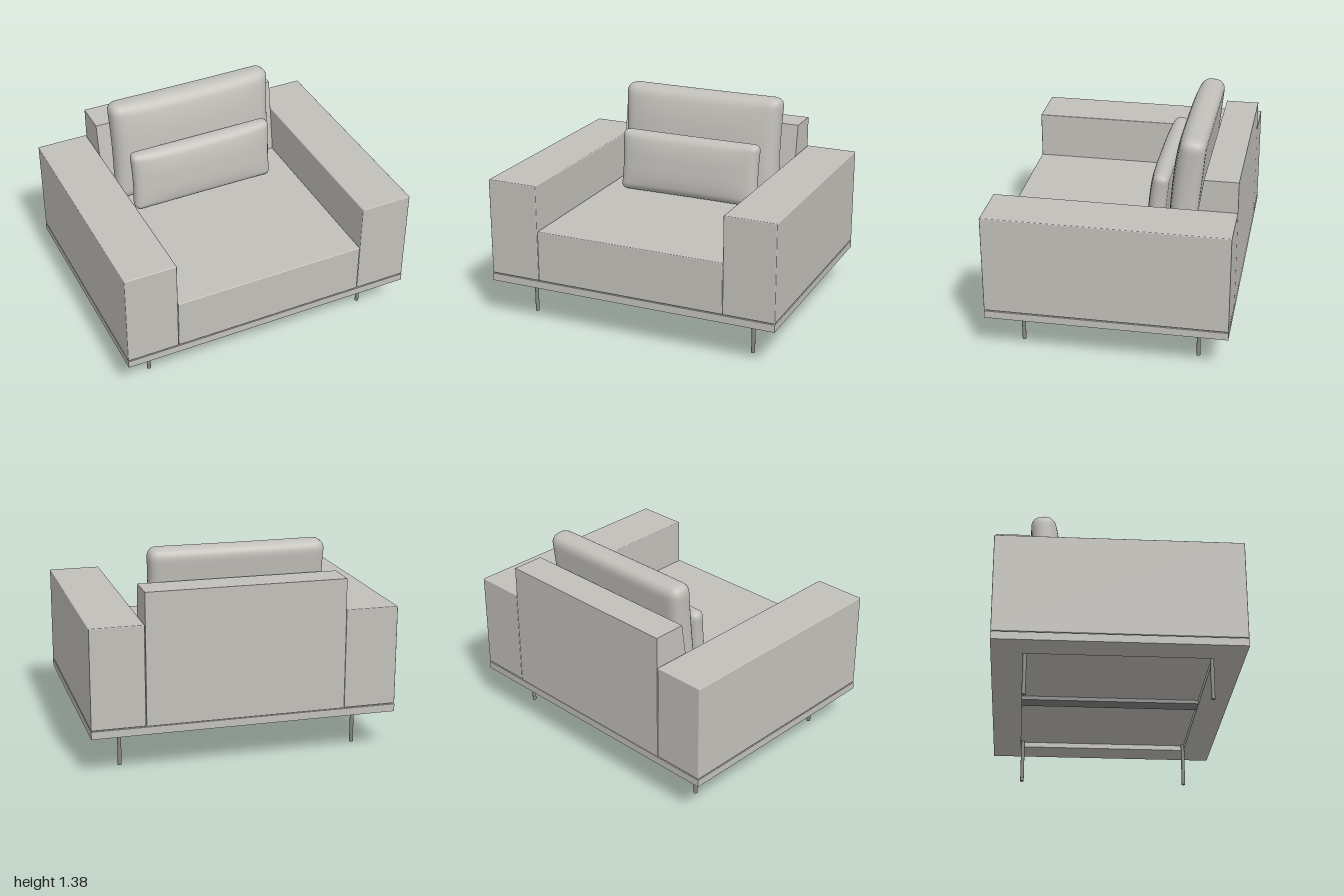
import * as THREE from 'three';
import { mergeVertices } from 'three/addons/utils/BufferGeometryUtils.js';
import { RoundedBoxGeometry } from 'three/addons/geometries/RoundedBoxGeometry.js';

const fabric = new THREE.MeshStandardMaterial({ color: 0xc2c0ba });
fabric.name = 'warm grey fabric';
const metal = new THREE.MeshStandardMaterial({ color: 0x868686 });
metal.name = 'grey metal';

function add(parent, name, geometry, material, x = 0, y = 0, z = 0) {
  const mesh = new THREE.Mesh(geometry, material);
  mesh.name = name;
  mesh.position.set(x, y, z);
  parent.add(mesh);
  return mesh;
}

// Upholstered block given by its minimum and maximum corners
function block(parent, name, [x0, y0, z0], [x1, y1, z1]) {
  const geometry = new RoundedBoxGeometry(x1 - x0, y1 - y0, z1 - z0, 2, 0.006);
  return add(parent, name, geometry, fabric, (x0 + x1) / 2, (y0 + y1) / 2, (z0 + z1) / 2);
}

// Soft pillow: a rounded box with a bulging front and slightly pinched sides
function cushionGeometry(w, h, d, r, bulge) {
  let g = new THREE.BoxGeometry(w, h, d, 44, 30, 10);
  g.deleteAttribute('uv');
  g.deleteAttribute('normal');
  g = mergeVertices(g);
  const pos = g.attributes.position;
  const p = new THREE.Vector3();
  const inner = new THREE.Vector3();
  const limit = new THREE.Vector3(w / 2 - r, h / 2 - r, d / 2 - r);
  const low = limit.clone().negate();
  for (let i = 0; i < pos.count; i++) {
    p.fromBufferAttribute(pos, i);
    inner.copy(p).clamp(low, limit);
    p.sub(inner).setLength(r).add(inner);
    const u = (2 * p.x) / w;
    const v = (2 * p.y) / h;
    const puff = (1 - Math.abs(u) ** 4) * (1 - Math.abs(v) ** 3);
    if (p.z > 0) p.z += bulge * puff * Math.min(1, (2 * p.z) / d);
    p.x *= 1 - 0.02 * (1 - v * v);
    p.y *= 1 - 0.008 * (1 - u * u);
    pos.setXYZ(i, p.x, p.y, p.z);
  }
  g.computeVertexNormals();
  return g;
}

export function createModel() {
  const model = new THREE.Group();
  model.name = 'armchair';

  // Base: thin slab over a rim that leaves a recess underneath
  const rim = new THREE.Shape([[-1, -0.78], [1, -0.78], [1, 0.78], [-1, 0.78]].map(([x, y]) => new THREE.Vector2(x, y)));
  rim.holes.push(new THREE.Path([[-0.8, -0.585], [-0.8, 0.585], [0.8, 0.585], [0.8, -0.585]].map(([x, y]) => new THREE.Vector2(x, y))));
  const rimGeometry = new THREE.ExtrudeGeometry(rim, { depth: 0.035, bevelEnabled: false });
  rimGeometry.rotateX(-Math.PI / 2);
  add(model, 'baseRim', rimGeometry, fabric, 0, 0.265, 0);
  add(model, 'baseSlab', new THREE.BoxGeometry(2, 0.015, 1.56), fabric, 0, 0.3075, 0);
  add(model, 'shadowGapCore', new THREE.BoxGeometry(1.98, 0.012, 1.54), fabric, 0, 0.318, 0);
  add(model, 'underBeam', new THREE.BoxGeometry(0.11, 0.025, 1.17), metal, 0, 0.2875, 0);

  // Arms, mirrored left and right
  block(model, 'leftArm', [0.653, 0.32, -0.78], [1, 0.975, 0.78]);
  block(model, 'rightArm', [-1, 0.32, -0.78], [-0.653, 0.975, 0.78]);

  // Seat
  block(model, 'seat', [-0.65, 0.32, -0.5], [0.65, 0.665, 0.78]);

  // Backrest with a sloping front face
  const side = new THREE.Shape([[0.78, 0.32], [0.78, 1.18], [0.562, 1.18], [0.482, 0.66], [0.482, 0.32]].map(([x, y]) => new THREE.Vector2(x, y)));
  const backGeometry = new THREE.ExtrudeGeometry(side, { depth: 1.3, bevelEnabled: false });
  backGeometry.rotateY(Math.PI / 2);
  add(model, 'backrest', backGeometry, fabric, -0.65, 0, 0).geometry.scale(1, 1, 1);

  // Cushions leaning backwards
  const backCushion = add(model, 'backCushion', cushionGeometry(1.16, 0.715, 0.16, 0.065, 0.045), fabric, -0.01, 1.028, -0.446);
  backCushion.rotation.x = -0.1;
  const lumbarCushion = add(model, 'lumbarCushion', cushionGeometry(1.02, 0.43, 0.1, 0.045, 0.035), fabric, -0.02, 0.885, -0.25);
  lumbarCushion.rotation.x = -0.1;

  // Slim legs
  const legGeometry = new THREE.CylinderGeometry(0.0125, 0.0125, 0.3, 20);
  for (const x of [-0.787, 0.787]) {
    for (const z of [-0.572, 0.578]) add(model, 'leg', legGeometry, metal, x, 0.15, z);
  }
  return model;
}
